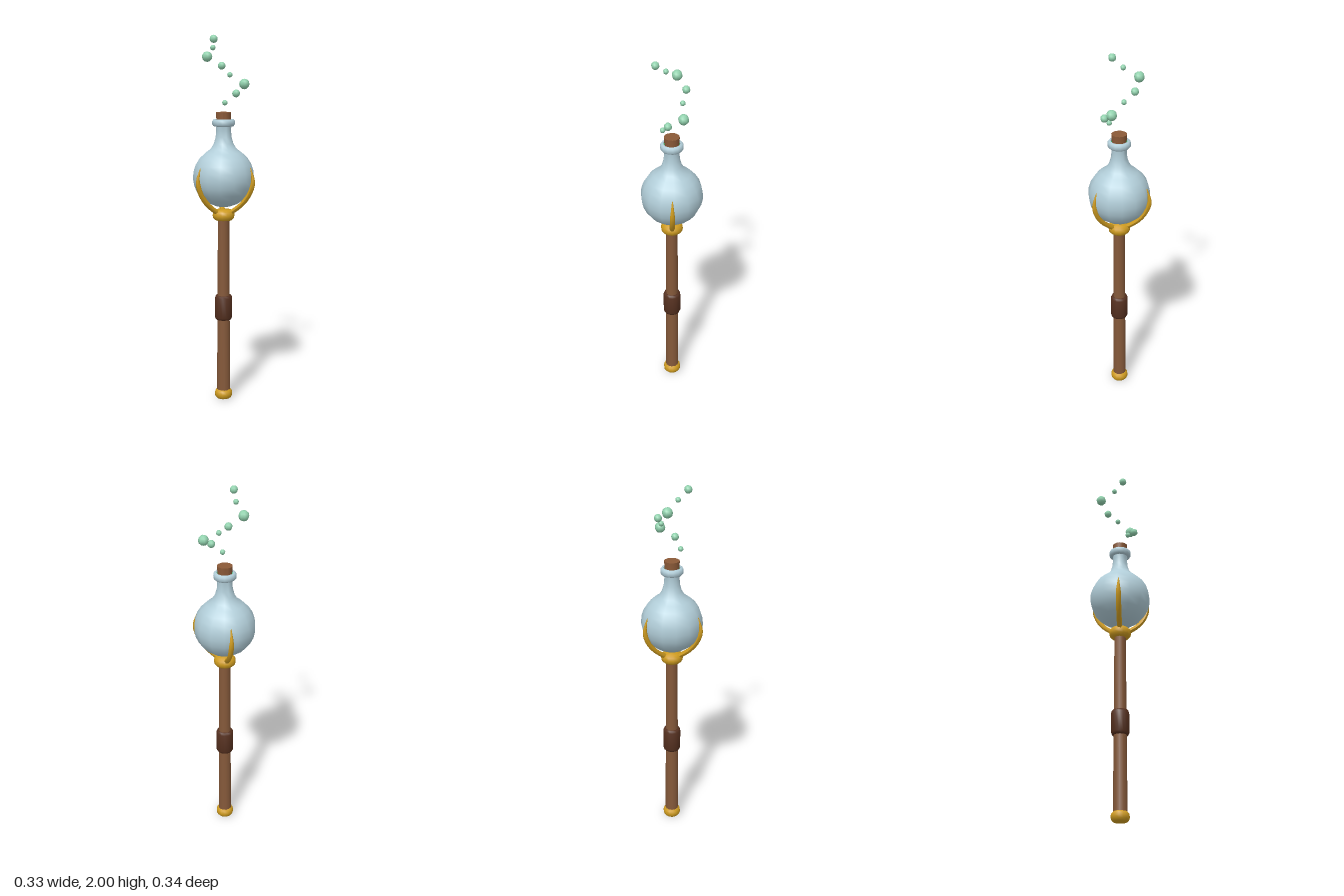
import * as THREE from 'three';
import { toCreasedNormals } from 'three/addons/utils/BufferGeometryUtils.js';

const material = (name, color, side = THREE.FrontSide) => {
  const m = new THREE.MeshStandardMaterial({ color, side });
  m.name = name;
  return m;
};

export function createModel() {
  const wood = material('wood', 0x85593a);
  const leather = material('leather', 0x55301f);
  const gold = material('gold', 0xcf9c20);
  const glass = material('glass', 0xb2ced9, THREE.DoubleSide);
  const cork = material('cork', 0x8b5a38);
  const potion = material('potion', 0x2fc46a);
  const foam = material('bubble green', 0x92d2ae);

  const model = new THREE.Group();
  model.name = 'potionStaff';
  const staff = new THREE.Group();
  staff.name = 'staff';
  staff.position.z = 0.01;
  model.add(staff);

  const add = (parent, name, geometry, mat) => {
    const mesh = new THREE.Mesh(geometry, mat);
    mesh.name = name;
    parent.add(mesh);
    return mesh;
  };

  // Turned part from [radius, height] pairs, listed bottom to top
  const turned = (name, profile, mat, sides = 14, crease = 0.7) => {
    const points = profile.map(([r, y]) => new THREE.Vector2(r, y));
    const lathe = new THREE.LatheGeometry(points, sides, Math.PI / 2);
    return add(staff, name, toCreasedNormals(lathe, crease), mat);
  };

  // Shaft, grip and metal fittings
  turned('shaft', [[0, 0.02], [0.037, 0.02], [0.031, 1.04], [0, 1.04]], wood, 12);
  turned('grip', [[0.034, 0.456], [0.043, 0.458], [0.048, 0.47], [0.048, 0.58],
    [0.043, 0.592], [0.032, 0.594]], leather, 14, 1.2);
  turned('footCap', [[0, 0], [0.038, 0.002], [0.047, 0.013], [0.049, 0.028],
    [0.046, 0.043], [0.036, 0.053], [0, 0.053]], gold, 14, 1.2);
  turned('collar', [[0, 1.013], [0.046, 1.015], [0.057, 1.026], [0.06, 1.042],
    [0.057, 1.058], [0.046, 1.07], [0, 1.072]], gold, 14, 1.2);

  // Round flask flowing into its neck
  const flask = [];
  for (let i = 0; i <= 10; i++) {
    const a = -Math.PI / 2 + (i / 10) * 2.5;
    flask.push([Math.max(0, 0.166 * Math.cos(a)), 1.25 + 0.163 * Math.sin(a)]);
  }
  flask.push([0.07, 1.402], [0.053, 1.43], [0.043, 1.465], [0.04, 1.5], [0.042, 1.525]);
  turned('flask', flask, glass, 14, 1.2);
  turned('flaskLip', [[0.04, 1.521], [0.054, 1.523], [0.061, 1.532], [0.061, 1.55],
    [0.055, 1.559], [0.044, 1.56], [0.043, 1.535]], glass, 14, 1.2);
  turned('liquidSurface', [[0.044, 1.552], [0, 1.552]], potion);
  turned('stopper', [[0, 1.5], [0.036, 1.5], [0.041, 1.597], [0, 1.597]], cork, 14);

  // Three claws cradling the flask, thinning to a point
  const path = new THREE.CatmullRomCurve3([[0.03, 1.05], [0.07, 1.077], [0.112, 1.113],
    [0.149, 1.165], [0.17, 1.235], [0.156, 1.3]].map(([r, y]) => new THREE.Vector3(r, y, 0)));
  const rings = 14, sides = 6;
  const clawGeometry = new THREE.TubeGeometry(path, rings, 0.014, sides);
  const pos = clawGeometry.attributes.position;
  const vertex = new THREE.Vector3();
  for (let i = 0; i < pos.count; i++) {
    const t = Math.floor(i / (sides + 1)) / rings;
    const centre = path.getPointAt(t);
    const scale = t < 0.7 ? 1 : 1 - 0.8 * (t - 0.7) / 0.3;
    vertex.fromBufferAttribute(pos, i).sub(centre).multiplyScalar(scale).add(centre);
    pos.setXYZ(i, vertex.x, vertex.y, vertex.z);
  }
  clawGeometry.computeVertexNormals();
  for (let i = 0; i < 3; i++) {
    const claw = add(staff, 'claw' + (i + 1), clawGeometry, gold);
    claw.rotation.y = Math.PI / 2 + (i * Math.PI * 2) / 3;
    const tip = new THREE.ConeGeometry(0.0035, 0.01, sides);
    add(claw, 'clawTip', tip, gold).position.set(0.155, 1.304, 0);
  }

  // Bubbles spiralling upward: x, y, z, radius
  const bubbles = [
    [0, 1.65, 0.064, 0.0145], [0.059, 1.698, 0.068, 0.021], [0.111, 1.745, 0.009, 0.028],
    [0.039, 1.793, -0.03, 0.0145], [0, 1.84, -0.074, 0.021], [-0.079, 1.888, -0.069, 0.028],
    [-0.057, 1.935, 0.009, 0.0145], [-0.059, 1.979, 0.068, 0.021],
  ];
  const trail = new THREE.Group();
  trail.name = 'bubbleTrail';
  model.add(trail);
  bubbles.forEach(([x, y, z, r], i) => {
    add(trail, 'bubble' + (i + 1), new THREE.SphereGeometry(r, 8, 6), foam).position.set(x, y, z);
  });
  return model;
}
